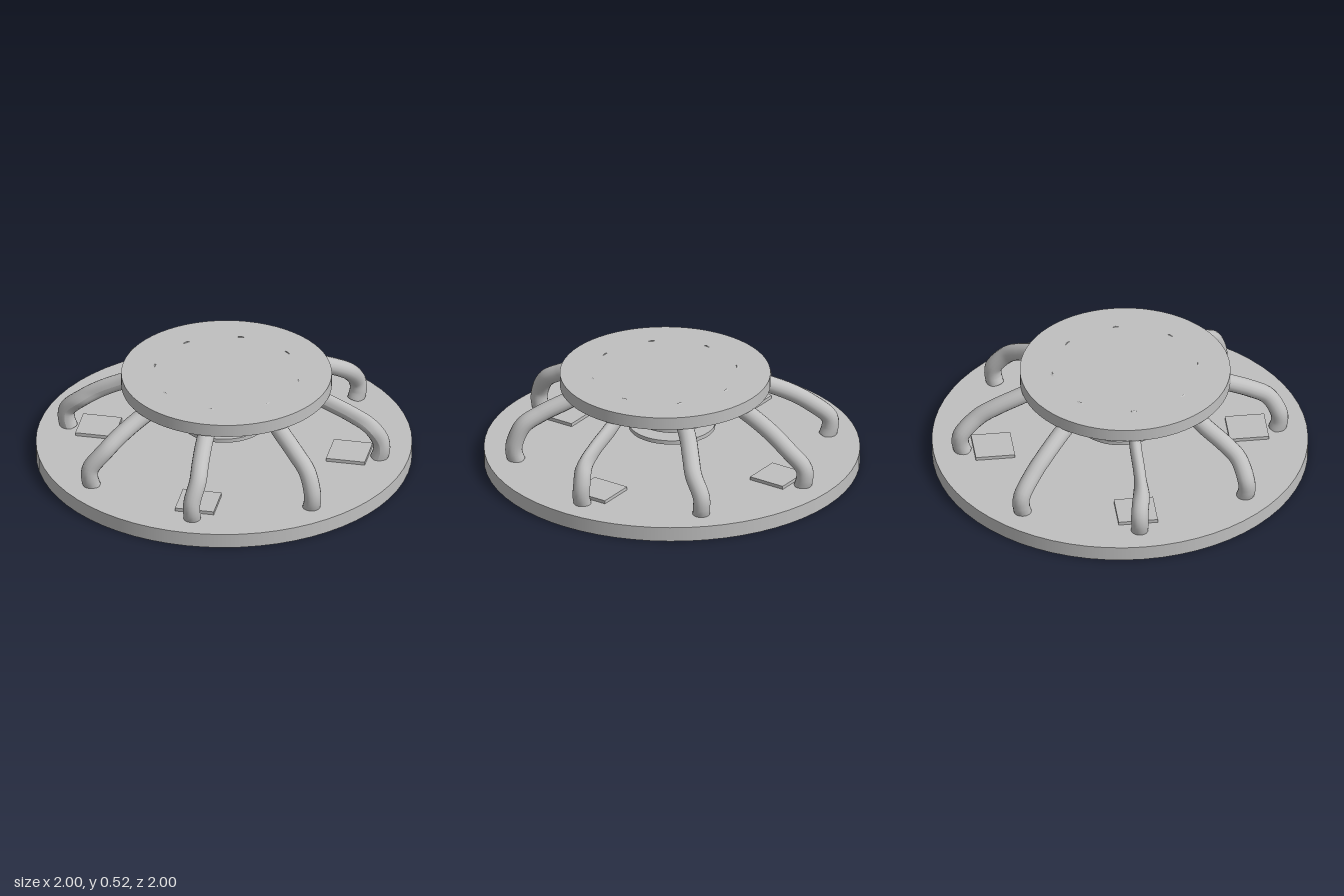
import * as THREE from 'three';

const gray = new THREE.MeshStandardMaterial({ color: 0xc0c0c0 });
gray.name = 'plain gray';

function add(parent, name, geometry, x = 0, y = 0, z = 0) {
  const mesh = new THREE.Mesh(geometry, gray);
  mesh.name = name;
  mesh.position.set(x, y, z);
  parent.add(mesh);
  return mesh;
}

// Flat disc spanning y0 to y1
function disc(parent, name, radius, y0, y1, x = 0, z = 0) {
  add(parent, name, new THREE.CylinderGeometry(radius, radius, y1 - y0, 64), x, (y0 + y1) / 2, z);
}

// Leg path: distance from centre, height, sideways drift in x and z
const legPath = [
  [0.84, 0.075, 0, 0],
  [0.855, 0.125, 0, 0],
  [0.85, 0.18, 0, 0],
  [0.775, 0.275, 0.02, 0.02],
  [0.68, 0.335, 0.015, 0.02],
  [0.54, 0.4, 0.01, 0.015],
  [0.37, 0.478, 0.02, 0.03],
];

function legGeometry(angle, flatten) {
  const points = legPath.map(([r, y, dx, dz]) =>
    new THREE.Vector3(r * Math.cos(angle) + dx, y, r * Math.sin(angle) + dz));
  const curve = new THREE.CatmullRomCurve3(points, false, 'centripetal');
  const geometry = new THREE.TubeGeometry(curve, 40, 0.046, 16);
  // The two side legs narrow above the knee
  if (flatten) {
    const pos = geometry.attributes.position;
    for (let i = 0; i < pos.count; i++) {
      const k = 1 - 0.3 * THREE.MathUtils.smoothstep(pos.getY(i), 0.24, 0.32);
      pos.setZ(i, 0.022 + (pos.getZ(i) - 0.022) * k);
    }
    geometry.computeVertexNormals();
  }
  return { geometry, curve };
}

export function createModel() {
  const model = new THREE.Group();
  model.name = 'raisedPlatform';

  // Base, upper platform and stepped discs between them
  disc(model, 'base', 1, 0, 0.08);
  disc(model, 'upperPlatform', 0.56, 0.445, 0.515, 0.02, 0.03);
  disc(model, 'lowerStep', 0.23, 0.2, 0.222);
  disc(model, 'middleStep', 0.18, 0.245, 0.267);
  disc(model, 'upperStep', 0.13, 0.29, 0.31);

  // Square pads on the four sides of the base
  for (let i = 0; i < 4; i++) {
    const a = i * Math.PI / 2;
    add(model, 'pad', new THREE.BoxGeometry(0.21, 0.02, 0.21),
      0.68 * Math.cos(a), 0.088, 0.68 * Math.sin(a));
  }

  // Eight bent legs with closed upper ends
  for (let i = 0; i < 8; i++) {
    const leg = new THREE.Group();
    leg.name = 'leg';
    const { geometry, curve } = legGeometry(i * Math.PI / 4, i % 4 === 0);
    add(leg, 'legTube', geometry);
    const end = curve.getPoint(1);
    const cap = add(leg, 'legEnd', new THREE.CircleGeometry(0.046, 16), end.x, end.y, end.z);
    cap.lookAt(end.clone().add(curve.getTangent(1)));
    if (i % 4 === 0) cap.scale.x = 0.7;
    model.add(leg);
  }
  return model;
}
